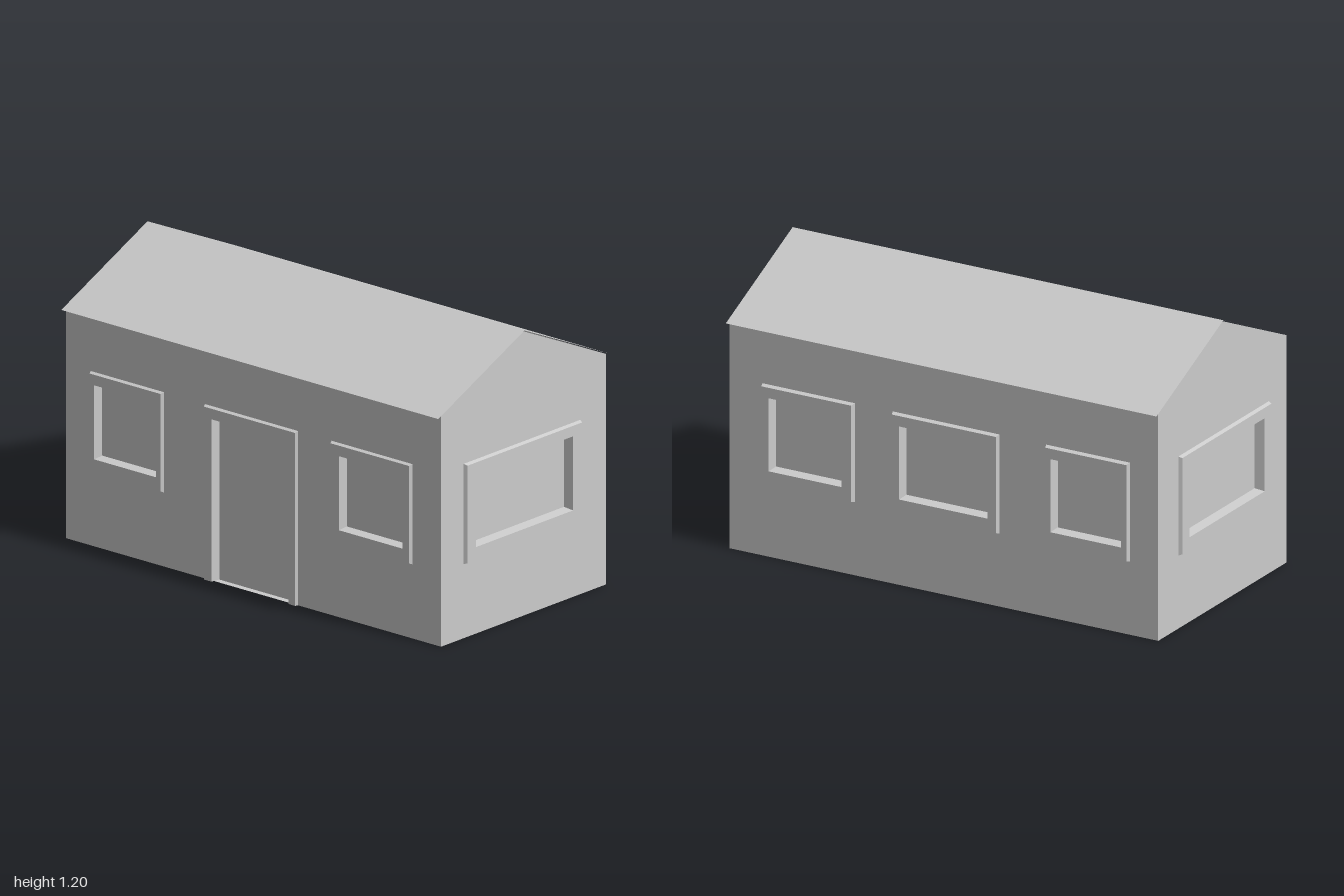
import * as THREE from 'three';

const HALF_X = 0.985, HALF_Z = 0.495, EAVE = 0.965, RIDGE = 1.19;
const RECESS = 0.027; // how far panes sit behind the wall face

const grey = () => new THREE.MeshStandardMaterial({ color: 0xcccccc, flatShading: true, side: THREE.DoubleSide });

function mesh(geometry, name) {
  const m = new THREE.Mesh(geometry, grey());
  m.name = name;
  return m;
}

// Openings are { o: outer frame rect, i: inner rect } as [left, bottom, right, top]
const opening = (l, r, il, ir, door = false) => ({
  door,
  o: [l, door ? 0 : 0.31, r, 0.73],
  i: [il, door ? 0 : 0.37, ir, 0.68],
});

// Corners of a rect at a given depth, shrunk by inset (doors keep their foot on the ground)
function loop([l, b, r, t], inset, depth, door) {
  const foot = door ? 0 : b + inset;
  return [
    [l + inset, foot, depth], [r - inset, foot, depth],
    [r - inset, t - inset, depth], [l + inset, t - inset, depth],
  ];
}

// Chamfered surround running over the wall face and back into the recess
function frameGeometry({ o, i, door }, out) {
  const loops = [
    loop(o, 0, 0, door), loop(o, 0.006, out, door),
    loop(i, 0, out, door), loop(i, 0.007, -RECESS, door),
  ];
  const pos = [];
  const quad = (a, b, c, d) => pos.push(...a, ...b, ...c, ...a, ...c, ...d);
  for (let k = 0; k < 3; k++) {
    for (let s = door ? 1 : 0; s < 4; s++) {
      const n = (s + 1) % 4;
      quad(loops[k][s], loops[k][n], loops[k + 1][n], loops[k + 1][s]);
    }
  }
  // Undersides of the door jambs
  if (door) {
    quad(loops[3][0], loops[2][0], loops[1][0], loops[0][0]);
    quad(loops[0][1], loops[1][1], loops[2][1], loops[3][1]);
  }
  const g = new THREE.BufferGeometry();
  g.setAttribute('position', new THREE.Float32BufferAttribute(pos, 3));
  g.computeVertexNormals();
  return g;
}

// One wall in its own plane (facing +z) with cut openings, surrounds and panes
function wall(name, half, gabled, out, openings) {
  const group = new THREE.Group();
  group.name = name;
  const outline = [[-half, 0], [half, 0], [half, EAVE]];
  if (gabled) outline.push([0, RIDGE]);
  outline.push([-half, EAVE]);
  const toPoints = (list) => list.map(([x, y]) => new THREE.Vector2(x, y));
  const shape = new THREE.Shape(toPoints(outline));

  for (const op of openings) {
    const [l, b, r, t] = op.i;
    shape.holes.push(new THREE.Path(toPoints([[l, b], [l, t], [r, t], [r, b]])));
    const pane = mesh(new THREE.PlaneGeometry(r - l, t - b), op.door ? 'doorPanel' : 'windowPane');
    pane.position.set((l + r) / 2, (b + t) / 2, -RECESS);
    group.add(mesh(frameGeometry(op, out), op.door ? 'doorFrame' : 'windowFrame'), pane);
  }
  group.add(mesh(new THREE.ShapeGeometry(shape), name + 'Panel'));
  return group;
}

export function createModel() {
  const house = new THREE.Group();
  house.name = 'house';

  // Front: door between two windows
  const front = wall('frontWall', HALF_X, false, 0.013, [
    opening(-0.855, -0.47, -0.825, -0.5),
    opening(-0.255, 0.235, -0.21, 0.195, true),
    opening(0.41, 0.835, 0.46, 0.795),
  ]);
  front.position.z = HALF_Z;

  // Back: three windows
  const back = wall('backWall', HALF_X, false, 0.018, [
    opening(-0.835, -0.41, -0.795, -0.46),
    opening(-0.235, 0.255, -0.195, 0.21),
    opening(0.47, 0.855, 0.5, 0.825),
  ]);
  back.position.z = -HALF_Z;
  back.rotation.y = Math.PI;

  // Gable ends: one wide window each
  const left = wall('leftGable', HALF_Z, true, 0.015, [opening(-0.36, 0.34, -0.303, 0.28)]);
  left.position.x = HALF_X;
  left.rotation.y = Math.PI / 2;
  const right = wall('rightGable', HALF_Z, true, 0.015, [opening(-0.34, 0.36, -0.28, 0.303)]);
  right.position.x = -HALF_X;
  right.rotation.y = -Math.PI / 2;

  // Floor
  const floor = mesh(new THREE.PlaneGeometry(2 * HALF_X, 2 * HALF_Z).rotateX(Math.PI / 2), 'floor');

  // Thin roof sheets with a small overhang
  const rise = 0.235, run = 0.517, top = 1.195;
  for (const side of [1, -1]) {
    const slope = mesh(new THREE.PlaneGeometry(1.98, Math.hypot(rise, run)), side > 0 ? 'frontRoof' : 'backRoof');
    slope.geometry.rotateX(-Math.atan2(run, rise)).translate(0, top - rise / 2, run / 2);
    if (side < 0) slope.rotation.y = Math.PI;
    house.add(slope);
  }

  house.add(front, back, left, right, floor);
  return house;
}
